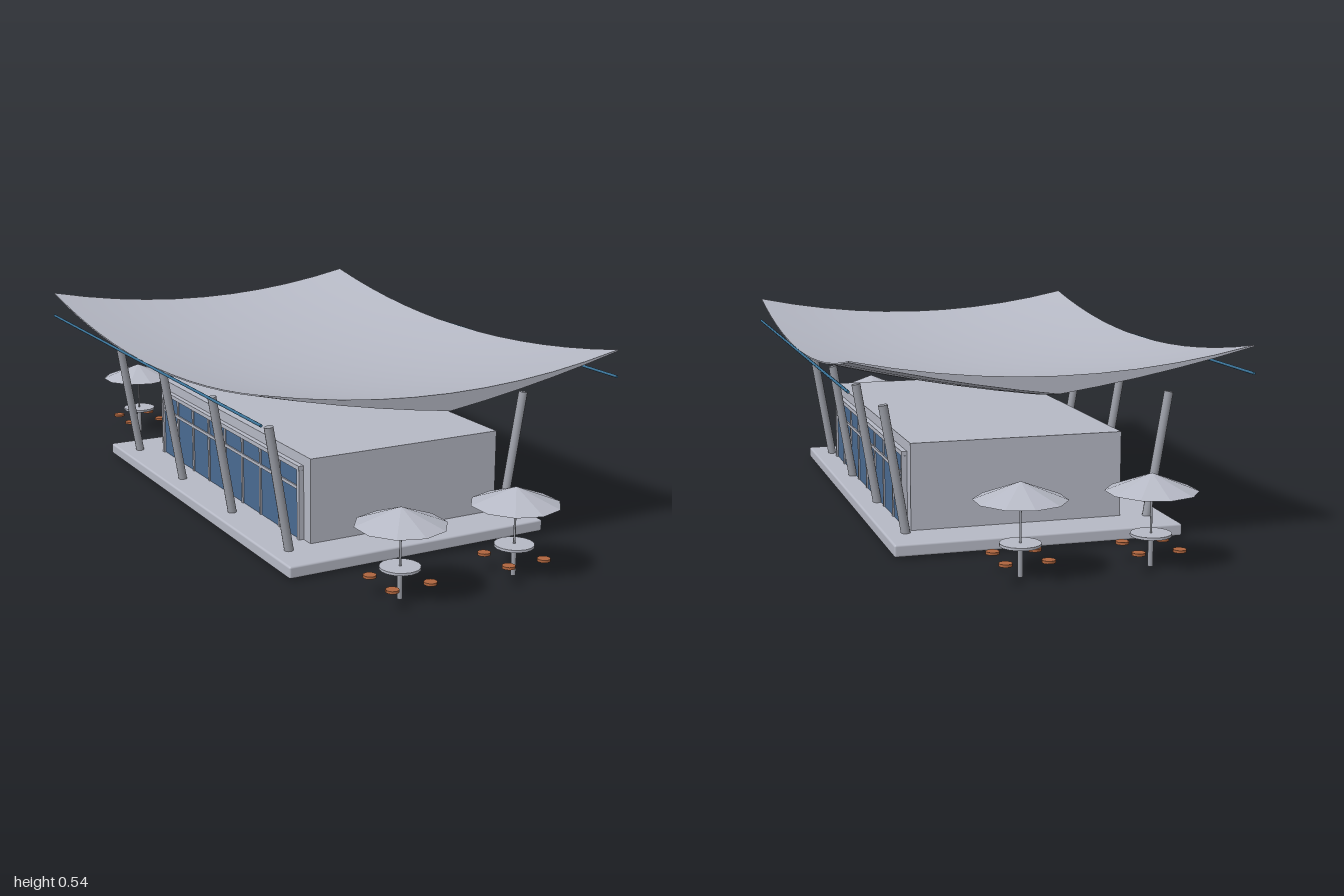
import * as THREE from 'three';
import { RoundedBoxGeometry } from 'three/addons/geometries/RoundedBoxGeometry.js';

const mat = (name, color, extra = {}) => {
  const m = new THREE.MeshStandardMaterial({ color, ...extra });
  m.name = name;
  return m;
};

export function createModel() {
  const pale = mat('paleGrey', 0xb6b9c5);
  const facet = mat('paleGreyFaceted', 0xb6b9c5, { flatShading: true });
  const steel = mat('steelGrey', 0x9c9fa8);
  const glass = mat('glassBlue', 0x4a6b92);
  const trim = mat('trimBlue', 0x3b7398);
  const seatMat = mat('seatOrange', 0xb0663f);

  const model = new THREE.Group();
  model.name = 'pavilion';

  const add = (parent, name, geo, material, x, y, z) => {
    const mesh = new THREE.Mesh(geo, material);
    mesh.name = name;
    mesh.position.set(x, y, z);
    parent.add(mesh);
    return mesh;
  };
  const box = (parent, name, material, x0, x1, y0, y1, z0, z1) =>
    add(parent, name, new THREE.BoxGeometry(x1 - x0, y1 - y0, z1 - z0), material,
      (x0 + x1) / 2, (y0 + y1) / 2, (z0 + z1) / 2);

  // Floor slab with softened edges
  add(model, 'floorSlab', new RoundedBoxGeometry(0.8, 0.034, 1.3, 2, 0.006), pale, 0, 0.021, 0);

  // Main building block
  box(model, 'buildingBody', pale, -0.27, 0.325, 0.036, 0.275, -0.52, 0.52);

  // Glazed walls on both long sides: glass sheet with a grid of bars
  for (const [name, wall, out] of [['leftGlazing', 0.325, 1], ['rightGlazing', -0.27, -1]]) {
    const g = new THREE.Group();
    g.name = name;
    g.position.x = wall;
    g.scale.x = 1;
    model.add(g);
    const span = (a, b) => (out > 0 ? [a, b] : [-b, -a]);
    box(g, 'glass', glass, ...span(0, 0.009), 0.037, 0.24, -0.475, 0.475);
    const bar = span(0, 0.015);
    const thin = span(0, 0.013);
    box(g, 'topRail', pale, ...bar, 0.234, 0.246, -0.48, 0.48);
    box(g, 'transom', pale, ...thin, 0.178, 0.187, -0.475, 0.475);
    for (const s of [-1, 1]) box(g, 'endPost', pale, ...bar, 0.037, 0.234, s * 0.475 - 0.006, s * 0.475 + 0.006);
    for (let i = 1; i < 8; i++) {
      const z = -0.475 + i * 0.95 / 8;
      box(g, 'mullion', pale, ...thin, 0.037, 0.234, z - 0.0045, z + 0.0045);
    }
  }

  // Leaning columns along both sides
  const bottom = new THREE.Vector3(0.342, 0.03, 0);
  const top = new THREE.Vector3(0.401, 0.384, 0);
  const axis = top.clone().sub(bottom);
  const columnGeo = new THREE.CylinderGeometry(0.0128, 0.0128, axis.length(), 12);
  for (const s of [-1, 1]) {
    for (const z of [-0.536, -0.18, 0.18, 0.536]) {
      const c = add(model, 'column', columnGeo, steel, s * (bottom.x + top.x) / 2, (bottom.y + top.y) / 2, z);
      c.rotation.z = -s * Math.atan2(axis.x, axis.y);
    }
  }

  // Curved roof: a box whose top and underside follow different curves
  const roofGeo = new THREE.BoxGeometry(1.07, 1, 1.545, 10, 1, 14);
  const p = roofGeo.attributes.position;
  for (let i = 0; i < p.count; i++) {
    const u = Math.abs(p.getX(i)) / 0.535;
    const w = p.getZ(i) / 0.7725;
    const y = p.getY(i) > 0 ? 0.407 + 0.058 * u * u : 0.36 + 0.07 * u + 0.031 * u * u;
    p.setY(i, y + 0.072 * w * w);
  }
  roofGeo.computeVertexNormals();
  add(model, 'roof', roofGeo, pale, 0, 0, 0);

  // Straight trim rods beside the roof edges
  for (const s of [-1, 1]) {
    const rod = add(model, 'trimRod', new THREE.CylinderGeometry(0.004, 0.004, 1.545, 8), trim, s * 0.537, 0.462, 0);
    rod.rotation.x = Math.PI / 2;
  }

  // Parasol tables with four stools each
  const canopy = new THREE.ConeGeometry(0.119, 0.046, 10);
  const pole = new THREE.CylinderGeometry(0.003, 0.003, 0.13, 8);
  const leg = new THREE.CylinderGeometry(0.007, 0.007, 0.08, 10);
  const tableTop = new THREE.CylinderGeometry(0.053, 0.053, 0.007, 16);
  const stool = new THREE.CylinderGeometry(0.0175, 0.0175, 0.007, 12);
  for (const x of [-0.21, 0.135]) {
    for (const z of [-0.881, 0.881]) {
      const set = new THREE.Group();
      set.name = 'parasolTable';
      set.position.set(x, 0, z);
      if (z < 0) set.rotation.y = Math.PI;
      model.add(set);
      add(set, 'canopy', canopy, facet, 0, 0.218, 0);
      add(set, 'pole', pole, steel, 0, 0.145, 0);
      add(set, 'tableLeg', leg, steel, 0, 0.04, 0);
      add(set, 'tableTop', tableTop, pale, 0, 0.083, 0);
      for (const sx of [-1, 1]) for (const sz of [-1, 1]) {
        add(set, 'stool', stool, seatMat, sx * 0.055, 0.051, sz * 0.055);
      }
    }
  }
  return model;
}
